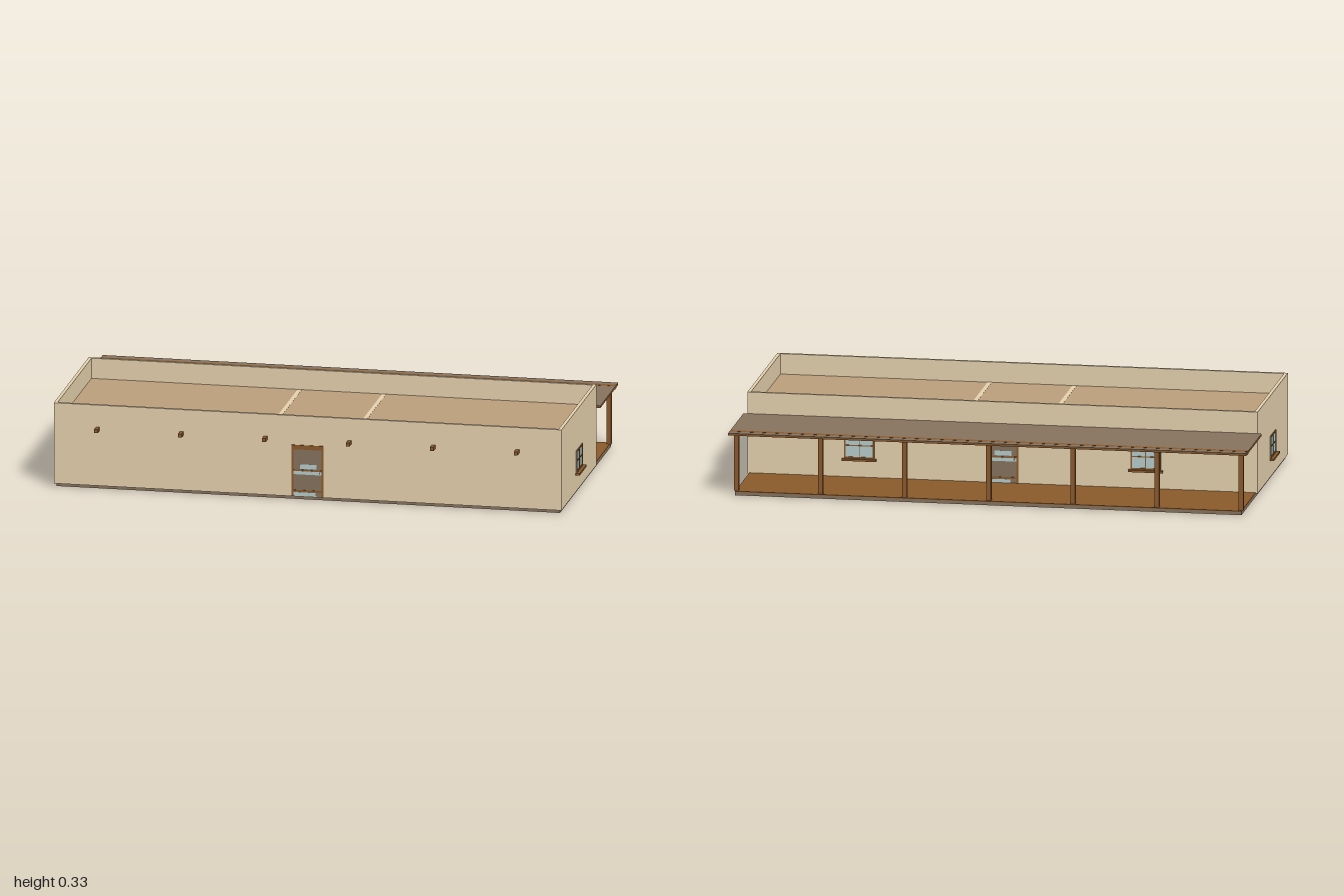
import * as THREE from 'three';

const mat = (name, color) => Object.assign(new THREE.MeshStandardMaterial({ color }), { name });

export function createModel() {
  const adobe = mat('adobe', 0xe5d1ae);
  const deck = mat('roofDeck', 0xbb9f7b);
  const stone = mat('greyBrown', 0x86725e);
  const wood = mat('wood', 0x8b5a2b);
  const glass = mat('glass', 0xb5cdcc);

  const model = new THREE.Group();
  model.name = 'adobeHouse';

  // Box given by its minimum and maximum along each axis
  const box = (parent, name, m, x0, x1, y0, y1, z0, z1) => {
    const mesh = new THREE.Mesh(new THREE.BoxGeometry(x1 - x0, y1 - y0, z1 - z0), m);
    mesh.position.set((x0 + x1) / 2, (y0 + y1) / 2, (z0 + z1) / 2);
    mesh.name = name;
    parent.add(mesh);
  };

  // Foundation with a pale underside, and house body
  box(model, 'foundationBase', adobe, -0.972, 0.972, 0, 0.001, -0.495, 0.475);
  box(model, 'foundation', stone, -0.972, 0.972, 0.001, 0.013, -0.495, 0.475);
  box(model, 'walls', adobe, -0.98, 0.98, 0.013, 0.248, -0.181, 0.486);
  box(model, 'roofDeck', deck, -0.967, 0.967, 0.248, 0.25, -0.168, 0.473);

  for (const s of [-1, 1]) {
    // Parapet around the flat roof
    const x = s * 0.9735;
    box(model, 'sideParapet', adobe, x - 0.0065, x + 0.0065, 0.248, 0.329, -0.168, 0.473);
    const z = 0.1525 + s * 0.327;
    box(model, 'longParapet', adobe, -0.98, 0.98, 0.248, 0.329, z - 0.0065, z + 0.0065);
    // Tops of the partition walls
    box(model, 'partitionTop', adobe, s * 0.163 - 0.008, s * 0.163 + 0.008, 0.248, 0.2505, -0.168, 0.473);
  }

  // Roof beams that pass through the front and back walls
  for (let i = 0; i < 6; i++) {
    const x = -0.81 + i * 0.324;
    box(model, 'roofBeam', wood, x - 0.007, x + 0.007, 0.229, 0.243, -0.215, 0.52);
  }

  // Porch floor, posts, beam and roof
  box(model, 'porchFloor', wood, -0.972, 0.972, 0.013, 0.016, -0.495, -0.181);
  for (let i = 0; i < 7; i++) {
    const x = -0.969 + i * (1.938 / 6);
    box(model, 'porchPost', wood, x - 0.009, x + 0.009, 0.016, 0.237, -0.487, -0.469);
  }
  box(model, 'porchBeam', wood, -0.994, 0.994, 0.233, 0.246, -0.488, -0.468);
  box(model, 'porchRoofBoards', wood, -0.995, 0.995, 0.237, 0.244, -0.52, -0.181);
  box(model, 'porchRoofCover', stone, -0.995, 0.995, 0.244, 0.2455, -0.52, -0.181);

  // Window facing +z, with its sill; origin at the middle of the pane
  const addWindow = (x, y, z, turn, h) => {
    const g = new THREE.Group();
    g.name = 'window';
    const w = 0.058;
    box(g, 'pane', glass, -w, w, -h, h, -0.002, 0.001);
    for (const s of [-1, 1]) {
      box(g, 'frameSide', wood, s * 0.055 - 0.003, s * 0.055 + 0.003, -h, h, -0.002, 0.004);
      box(g, 'frameRail', wood, -w, w, s * (h - 0.003) - 0.003, s * (h - 0.003) + 0.003, -0.002, 0.004);
    }
    box(g, 'uprightBar', wood, -0.0015, 0.0015, -h, h, -0.002, 0.003);
    box(g, 'crossBar', wood, -w, w, -0.002, 0.002, -0.002, 0.003);
    box(g, 'sill', wood, -0.066, 0.066, -h - 0.008, -h, -0.002, 0.016);
    g.position.set(x, y, z);
    g.rotation.y = turn;
    model.add(g);
  };
  addWindow(0.98, 0.13, 0.152, Math.PI / 2, 0.043);
  addWindow(-0.98, 0.13, 0.152, -Math.PI / 2, 0.043);
  for (const s of [-1, 1]) addWindow(s * 0.55, 0.138, -0.181, Math.PI, 0.05);

  // Doors at the middle of the front and back
  const addDoor = (z, turn) => {
    const g = new THREE.Group();
    g.name = 'door';
    box(g, 'doorLeaf', stone, -0.056, 0.056, 0.016, 0.21, -0.002, 0.001);
    box(g, 'upperGlass', glass, -0.03, 0.035, 0.122, 0.14, -0.002, 0.0015);
    box(g, 'middleGlass', glass, -0.054, 0.054, 0.1, 0.113, -0.002, 0.0015);
    box(g, 'bottomGlass', glass, -0.054, 0.03, 0.016, 0.03, -0.002, 0.0015);
    for (const s of [-1, 1])
      box(g, 'doorJamb', wood, s * 0.058 - 0.004, s * 0.058 + 0.004, 0.014, 0.215, -0.002, 0.003);
    box(g, 'doorHead', wood, -0.062, 0.062, 0.198, 0.215, -0.002, 0.003);
    box(g, 'middleRail', wood, -0.054, 0.054, 0.114, 0.119, -0.002, 0.0025);
    box(g, 'bottomRail', wood, -0.054, 0.054, 0.032, 0.039, -0.002, 0.0025);
    box(g, 'handle', wood, 0.044, 0.049, 0.105, 0.112, 0, 0.005);
    g.position.z = z;
    g.rotation.y = turn;
    model.add(g);
  };
  addDoor(0.486, 0);
  addDoor(-0.181, Math.PI);

  return model;
}
